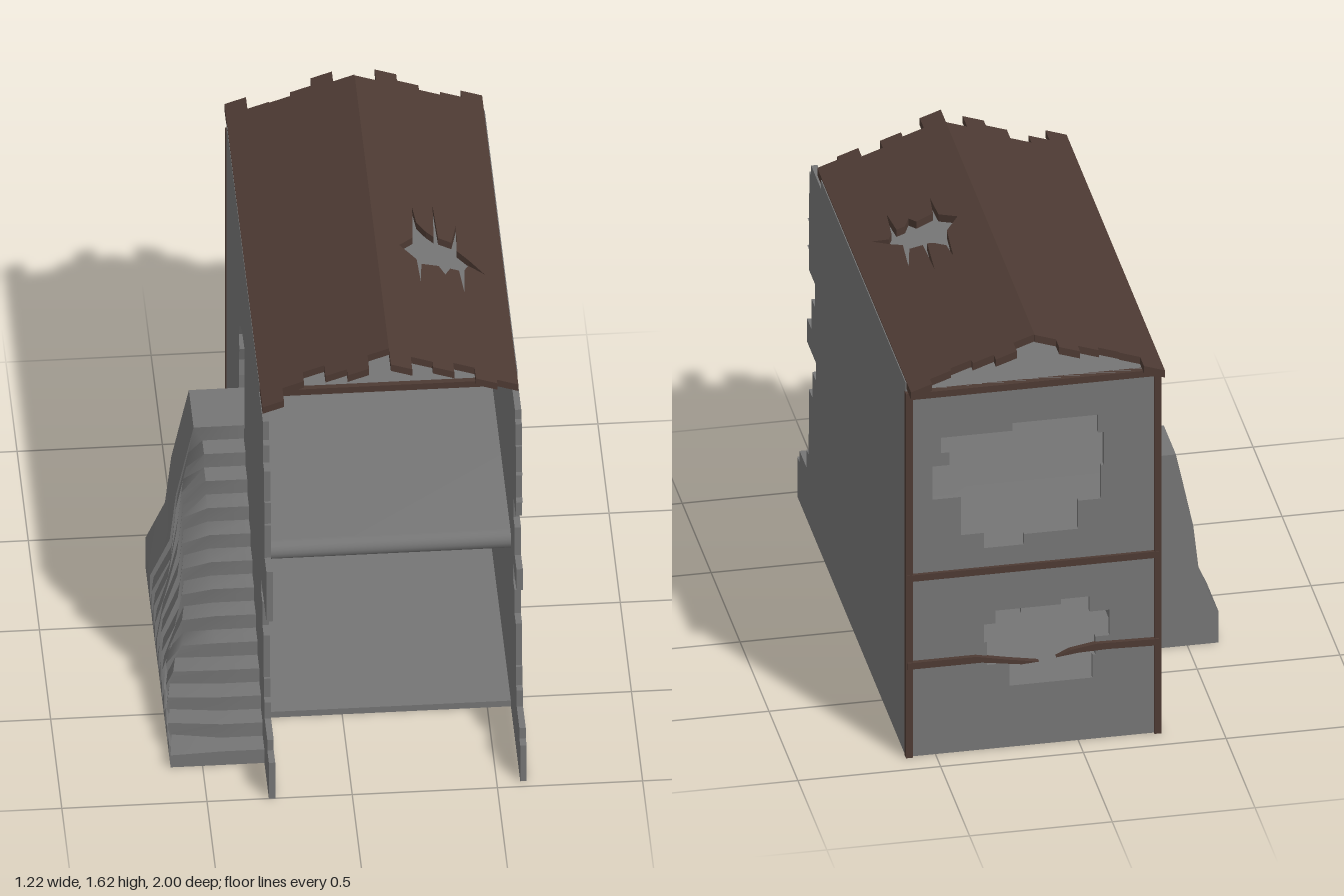
import * as THREE from 'three';
import { toCreasedNormals } from 'three/addons/utils/BufferGeometryUtils.js';

const stone = new THREE.MeshStandardMaterial({ color: 0x757575, side: THREE.DoubleSide });
stone.name = 'grey stone';
const wood = new THREE.MeshStandardMaterial({ color: 0x4d3a33 });
wood.name = 'dark brown wood';

const vec = (pts) => pts.map(([x, y]) => new THREE.Vector2(x, y));

// Turns a rough outline into crumbled, block-shaped steps
function blocky(pts, closed) {
  const out = [];
  pts.forEach((p, i) => {
    out.push(p);
    const n = pts[i + 1] || (closed ? pts[0] : null);
    if (n && n[0] !== p[0] && n[1] !== p[1]) out.push(i % 2 ? [n[0], p[1]] : [p[0], n[1]]);
  });
  return out;
}

function extrude(outline, holes, depth) {
  const shape = new THREE.Shape(vec(outline));
  holes.forEach((h) => shape.holes.push(new THREE.Path(vec(h))));
  return new THREE.ExtrudeGeometry(shape, { depth, bevelEnabled: false });
}

// Extrudes a (z, y) outline along x, starting at x0
function sideways(outline, holes, depth, x0) {
  return extrude(outline, holes, depth).rotateY(-Math.PI / 2).translate(x0 + depth, 0, 0);
}

export function createModel() {
  const model = new THREE.Group();
  model.name = 'ruinedHouse';
  const add = (name, geo, mat) => {
    const mesh = new THREE.Mesh(geo, mat);
    mesh.name = name;
    model.add(mesh);
    return mesh;
  };
  const box = (name, mat, x0, x1, y0, y1, z0, z1) =>
    add(name, new THREE.BoxGeometry(x1 - x0, y1 - y0, z1 - z0)
      .translate((x0 + x1) / 2, (y0 + y1) / 2, (z0 + z1) / 2), mat);

  // Side walls with crumbled front edges, (z, y) from the ground up
  const lower = [[0.93, 0.17], [0.87, 0.2], [0.81, 0.22], [0.81, 0.27], [0.78, 0.3], [0.74, 0.35], [0.77, 0.39],
    [0.74, 0.44], [0.77, 0.48], [0.74, 0.53], [0.71, 0.58], [0.68, 0.63], [0.65, 0.68]];
  const upper = [[0.77, 1.04], [0.8, 1.08], [0.77, 1.13], [0.79, 1.19], [0.77, 1.26], [0.74, 1.3], [0.76, 1.35],
    [0.73, 1.39], [0.73, 1.43]];
  const wall = (name, x0, foot, middle, holes) => {
    const edge = blocky([[foot, 0], [foot, 0.155], ...lower, ...middle, ...upper]);
    add(name, sideways([[-0.9, 0], ...edge, [0.56, 1.43], [0.56, 1.465], [-0.9, 1.465]], holes, 0.022, x0), stone);
  };
  const doorway = [[-0.09, 0.755], [-0.09, 1.11], [-0.2, 1.1], [-0.27, 1.07], [-0.31, 1.04], [-0.34, 0.98],
    [-0.32, 0.93], [-0.34, 0.87], [-0.33, 0.81], [-0.33, 0.755]];
  wall('rightWall', -0.287, 1, [[0.89, 0.685], [0.89, 0.88], [0.83, 0.9], [0.81, 0.98]], [doorway]);
  wall('leftWall', 0.581, 0.97,
    [[0.8, 0.7], [0.8, 0.76], [0.74, 0.79], [0.72, 0.87], [0.66, 0.91], [0.66, 0.99], [0.75, 1.0]], []);

  // Back wall with two broken openings
  const upperHole = blocky([[0, 1.27], [0.22, 1.27], [0.23, 1.25], [0.38, 1.24], [0.48, 1.22], [0.48, 1.18], [0.45, 1.16],
    [0.51, 1.13], [0.51, 1.01], [0.43, 1.0], [0.41, 0.94], [0.41, 0.85], [0.33, 0.82], [0.27, 0.79], [0.19, 0.81],
    [0.02, 0.83], [0, 0.88], [-0.05, 0.94], [-0.08, 1.0], [-0.11, 1.07], [-0.09, 1.12], [-0.11, 1.2], [-0.07, 1.25]], true);
  const lowerHole = blocky([[0.06, 0.56], [0.12, 0.54], [0.2, 0.52], [0.23, 0.54], [0.29, 0.53], [0.31, 0.49],
    [0.33, 0.45], [0.3, 0.42], [0.32, 0.37], [0.27, 0.33], [0.24, 0.28], [0.18, 0.24], [0.09, 0.22], [0, 0.24],
    [-0.05, 0.28], [-0.08, 0.33], [-0.06, 0.37], [-0.11, 0.4], [-0.11, 0.46], [-0.07, 0.5], [-0.04, 0.53]], true);
  add('backWall', extrude([[-0.27, 0], [0.585, 0], [0.585, 1.43], [-0.27, 1.43]],
    [upperHole, lowerHole], 0.02).translate(0, 0, -0.91), stone);

  // Floors and ceiling; the middle floor has a rounded front edge
  box('groundFloor', stone, -0.27, 0.585, 0, 0.025, -0.9, 0.55);
  const nose = [];
  for (let i = 0; i <= 8; i++) {
    const a = -Math.PI / 2 + (i / 8) * Math.PI;
    nose.push([0.525 + 0.036 * Math.cos(a), 0.718 + 0.037 * Math.sin(a)]);
  }
  add('middleFloor', toCreasedNormals(sideways([[-0.9, 0.681], ...nose, [-0.9, 0.755]], [], 0.855, -0.27), 0.8), stone);
  box('ceiling', stone, -0.27, 0.585, 1.408, 1.428, -0.9, 0.54);

  // Timber frame
  box('frontTieBeam', wood, -0.27, 0.585, 1.405, 1.43, 0.54, 0.56);
  box('backTopBeam', wood, -0.287, 0.603, 1.405, 1.43, -0.92, -0.895);
  box('backMiddleRail', wood, -0.287, 0.603, 0.692, 0.717, -0.922, -0.905);
  for (const x of [-0.29, 0.58]) box('backCornerPost', wood, x, x + 0.025, 0, 1.43, -0.92, -0.893);

  // Snapped lower rail, two tapering halves
  const snapped = (name, pts) => add(name, extrude(pts, [], 0.02).translate(0, 0, -0.926), wood);
  snapped('brokenRailRight', [[-0.28, 0.35], [-0.1, 0.355], [0, 0.352], [0.08, 0.342], [0.03, 0.365], [-0.06, 0.38], [-0.28, 0.375]]);
  snapped('brokenRailLeft', [[0.6, 0.35], [0.6, 0.375], [0.36, 0.375], [0.25, 0.352], [0.14, 0.332], [0.2, 0.328], [0.34, 0.35]]);

  // Roof slopes: six uneven boards each, drawn in plan and then tilted
  const ridge = 0.157, boardWidth = 0.0738;
  const backEnds = [-1, -0.935, -0.93, -0.95, -0.99, -0.935, -0.93, -0.99, -0.955, -0.93, -0.945, -0.98];
  const frontEnds = [0.7, 0.63, 0.58, 0.64, 0.675, 0.6, 0.69, 0.62, 0.65, 0.6, 0.66, 0.64];
  const roofHole = [[0.24, -0.01], [0.29, -0.07], [0.302, -0.24], [0.31, -0.16], [0.34, -0.12], [0.365, -0.1], [0.375, -0.28],
    [0.38, -0.1], [0.425, -0.09], [0.45, -0.2], [0.44, -0.05], [0.48, -0.01], [0.53, 0.05], [0.475, 0.02], [0.46, 0.05],
    [0.45, 0.18], [0.44, 0.06], [0.41, 0.06], [0.39, 0.1], [0.37, 0.06], [0.31, 0.07], [0.3, 0.17], [0.295, 0.05]];
  const flip = ([x, z]) => [x, -z];
  const slope = (name, first, holes) => {
    const front = [], back = [];
    for (let i = first; i < first + 6; i++) {
      const a = ridge + (i - 6) * boardWidth, b = a + boardWidth;
      front.push([a, frontEnds[i]], [b, frontEnds[i]]);
      back.push([a, backEnds[i]], [b, backEnds[i]]);
    }
    const geo = extrude([...front, ...back.reverse()].map(flip), holes.map((h) => h.map(flip)), 0.028).rotateX(-Math.PI / 2);
    const p = geo.attributes.position;
    for (let i = 0; i < p.count; i++) p.setY(i, p.getY(i) + 1.594 - 0.345 * Math.abs(p.getX(i) - ridge));
    geo.computeVertexNormals();
    add(name, geo, wood);
  };
  slope('roofRightSlope', 0, []);
  slope('roofLeftSlope', 6, [roofHole]);

  // Outer stair: slumped cross-sections lofted along z, open below
  const flare = [[0, -0.61], [0.12, -0.61], [0.18, -0.6], [0.25, -0.545], [0.38, -0.53], [0.57, -0.51], [0.63, -0.48], [1, -0.475]];
  const outer = (y) => {
    const k = flare.findIndex((f) => f[0] > y), [y0, x0] = flare[k - 1], [y1, x1] = flare[k];
    return x0 + ((x1 - x0) * (y - y0)) / (y1 - y0);
  };
  const section = (z, h, lip, slump, dent) => [
    [-0.28, h, z], [lip, h, z],
    ...[0.88, 0.62, 0.36, 0.16, 0].map((f, i) => [outer(f * h) + (i < 4 ? dent : 0), f * h, z - (i < 2 ? slump : 0)]),
  ];
  const sections = [section(-0.33, 0.755, -0.46, 0, 0), section(-0.12, 0.755, -0.46, 0, 0)];
  for (let i = 1; i <= 12; i++) {
    const z = -0.12 + (i - 1) * 0.0767, h = 0.755 - i * 0.058;
    sections.push(section(z, h, -0.43, 0.04, 0.012), section(z + 0.0767, h, -0.43, i < 12 ? 0.04 : 0, 0));
  }
  const tris = [];
  for (let k = 0; k + 1 < sections.length; k++) {
    for (let j = 0; j < 6; j++) {
      const [a, b, c, d] = [sections[k][j], sections[k][j + 1], sections[k + 1][j + 1], sections[k + 1][j]];
      tris.push(...a, ...b, ...c, ...a, ...c, ...d);
    }
  }
  // Flat ends of the stair
  const cap = (s, front) => {
    const corner = [-0.28, 0, s[0][2]];
    for (let j = 0; j < 6; j++) tris.push(...corner, ...(front ? s[j] : s[j + 1]), ...(front ? s[j + 1] : s[j]));
  };
  cap(sections[0], false);
  cap(sections[sections.length - 1], true);
  const stair = new THREE.BufferGeometry();
  stair.setAttribute('position', new THREE.Float32BufferAttribute(tris, 3));
  add('outerStair', toCreasedNormals(stair, 0.7), stone);

  return model;
}
